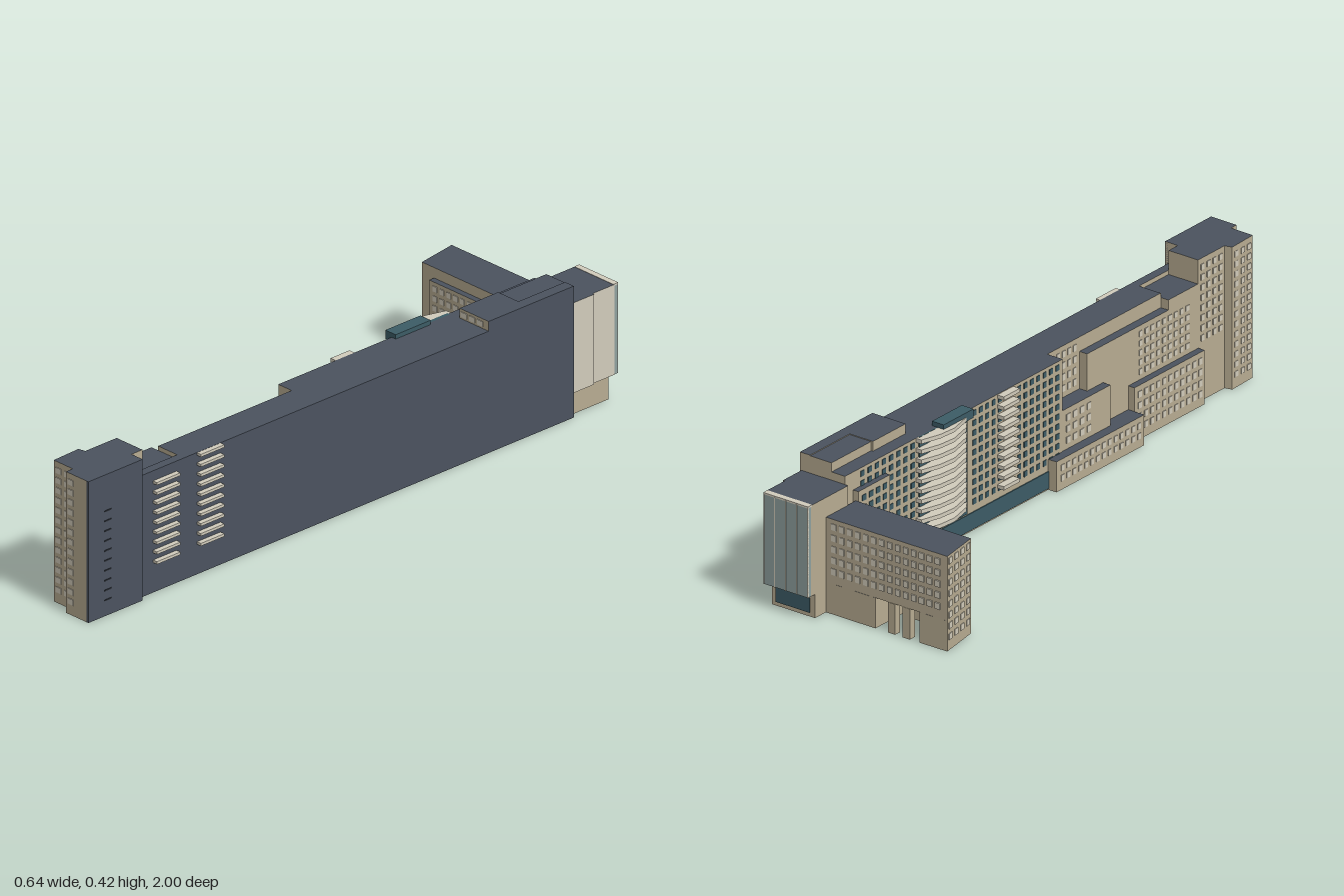
import * as THREE from 'three';
import { mergeGeometries } from 'three/addons/utils/BufferGeometryUtils.js';

const mat = (color) => new THREE.MeshStandardMaterial({ color });
const slate = mat(0x4b535f), beige = mat(0xb8ac92), pale = mat(0xd2ccbc), teal = mat(0x3c5c66),
  glass = mat(0x8fa09e), dark = mat(0x2b2f36);

export function createModel() {
  const model = new THREE.Group();
  model.name = 'apartmentBuilding';
  // the whole building sits 15 degrees off the axes: local z runs along the slab
  const site = new THREE.Group();
  site.name = 'site';
  site.rotation.y = -Math.PI / 12;
  model.add(site);

  const add = (name, geometry, material) => {
    const m = new THREE.Mesh(geometry, material);
    m.name = name;
    site.add(m);
    return m;
  };
  const boxGeo = (x0, x1, y0, y1, z0, z1) =>
    new THREE.BoxGeometry(x1 - x0, y1 - y0, z1 - z0)
      .translate((x0 + x1) / 2, (y0 + y1) / 2, (z0 + z1) / 2);
  // block with slate roof; the east wall may differ from the other walls
  const block = (name, x0, x1, y0, y1, z0, z1, east = beige, wall = beige) =>
    add(name, boxGeo(x0, x1, y0, y1, z0, z1), [east, wall, slate, slate, wall, wall]);
  // plan outline of [x, z] points raised from y0 to y1
  const prism = (pts, y0, y1) => {
    const shape = new THREE.Shape(pts.map(([x, z]) => new THREE.Vector2(x, -z)));
    return new THREE.ExtrudeGeometry(shape, { depth: y1 - y0, bevelEnabled: false })
      .rotateX(-Math.PI / 2).translate(0, y0, 0);
  };
  // grid of window panels on a wall; axis is the wall normal, at its position
  const windows = (name, axis, at, a0, a1, cols, y0, y1, rows, material, fill = 0.55) => {
    const parts = [], da = (a1 - a0) / cols, dy = (y1 - y0) / rows, t = 0.002;
    for (let c = 0; c < cols; c++) for (let r = 0; r < rows; r++) {
      const a = a0 + (c + 0.5) * da, w = da * fill / 2;
      const y = y0 + (r + 0.5) * dy, h = dy * 0.28;
      parts.push(axis === 'x'
        ? boxGeo(at - t, at + t, y - h, y + h, a - w, a + w)
        : boxGeo(a - w, a + w, y - h, y + h, at - t, at + t));
    }
    add(name, mergeGeometries(parts), material);
  };

  // long slab
  block('slabNorthPart', -0.076, 0.077, 0, 0.363, -0.81, 0.14, slate);
  block('slabSouthPart', -0.024, 0.077, 0, 0.363, 0.14, 0.635, slate);
  block('slabTowerLink', 0.05, 0.077, 0, 0.363, 0.635, 0.804, slate);
  block('linkInfill', -0.05, 0.05, 0, 0.35, 0.635, 0.764);

  // stepped volumes on the west side
  block('lowPodium', -0.104, -0.024, 0, 0.09, 0.077, 0.46);
  block('midPodium', -0.071, -0.024, 0, 0.16, 0.46, 0.766);
  block('upperAnnex', -0.05, -0.024, 0, 0.32, 0.28, 0.74);
  block('smallAnnex', -0.075, -0.024, 0, 0.21, 0.14, 0.35);
  windows('lowPodiumWindows', 'x', -0.104, 0.09, 0.45, 14, 0.02, 0.08, 2, pale);
  windows('midPodiumWindows', 'x', -0.071, 0.47, 0.76, 11, 0.02, 0.15, 4, pale);
  windows('upperAnnexWindows', 'x', -0.05, 0.5, 0.73, 9, 0.17, 0.31, 5, pale);
  windows('smallAnnexWindows', 'x', -0.075, 0.15, 0.27, 4, 0.1, 0.2, 3, pale);
  windows('slabUpperWindows', 'x', -0.024, 0.15, 0.27, 5, 0.22, 0.355, 4, pale);

  // slab west facade
  windows('westFacadeWindows', 'x', -0.076, -0.26, 0.13, 14, 0.07, 0.36, 10, teal, 0.5);
  windows('westFacadeNorthWindows', 'x', -0.076, -0.75, -0.5, 8, 0.07, 0.36, 10, teal, 0.5);
  add('groundFloorGlazing', boxGeo(-0.079, -0.07, 0.005, 0.055, -0.5, 0.13), teal);

  // bowed balconies stacked on the west side, with small ones beside them
  const bow = [[-0.07, -0.5], [-0.094, -0.5], [-0.112, -0.44], [-0.117, -0.385],
    [-0.1, -0.31], [-0.07, -0.27]];
  const bowParts = [], smallParts = [], eastParts = [], slots = [];
  for (let i = 0; i < 10; i++) {
    const y = 0.085 + i * 0.0295;
    bowParts.push(prism(bow, y, y + 0.012));
    smallParts.push(boxGeo(-0.098, -0.07, y, y + 0.011, -0.145, -0.075));
    // east balconies, the column beside the tower stops one floor lower
    if (i < 9) eastParts.push(boxGeo(0.07, 0.092, y + 0.004, y + 0.012, 0.663, 0.75));
    eastParts.push(boxGeo(0.07, 0.092, y + 0.004, y + 0.012, 0.5, 0.587));
    // narrow slots in the tower's east wall
    slots.push(boxGeo(0.092, 0.0945, y - 0.04, y - 0.036, 0.92, 0.945));
  }
  add('bowedBalconies', mergeGeometries(bowParts), pale);
  add('smallBalconies', mergeGeometries(smallParts), pale);
  add('eastBalconies', mergeGeometries(eastParts), pale);
  add('bowGlazing', boxGeo(-0.08, -0.07, 0.06, 0.363, -0.49, -0.28), teal);
  add('bowRoofLantern', boxGeo(-0.1, -0.06, 0.35, 0.376, -0.41, -0.28), teal);

  // south tower
  add('southTower', prism([[-0.05, 0.764], [0.05, 0.764], [0.05, 0.804], [0.092, 0.804],
    [0.092, 1.005], [0.006, 1.005], [0.006, 0.98], [-0.068, 0.98], [-0.072, 0.885],
    [-0.05, 0.88]], 0, 0.421), [slate, beige]);
  add('southTowerEastWall', boxGeo(0.085, 0.0932, 0, 0.421, 0.804, 1.0052), slate);
  add('southTowerSlots', mergeGeometries(slots), dark);
  windows('southTowerFrontWindows', 'z', 0.98, -0.066, 0.003, 2, 0.025, 0.41, 13, pale, 0.65);
  windows('southTowerSideColumn', 'z', 1.005, 0.01, 0.04, 1, 0.025, 0.41, 13, pale, 0.7);
  windows('southTowerBayWindows', 'x', -0.07, 0.89, 0.975, 3, 0.025, 0.41, 13, pale);
  windows('southTowerWestWindows', 'x', -0.05, 0.77, 0.875, 4, 0.17, 0.41, 8, pale);

  // raised roof storey at the north end
  block('roofStoreyEast', 0.043, 0.077, 0.36, 0.392, -0.81, -0.494, slate);
  block('roofStorey', -0.036, 0.043, 0.36, 0.392, -0.637, -0.494);
  block('roofStoreyNorth', -0.03, 0.043, 0.36, 0.39, -0.81, -0.637);
  windows('roofStoreyWindows', 'z', -0.494, -0.034, 0.06, 3, 0.363, 0.39, 1, pale, 0.7);
  block('westProjection', -0.094, -0.07, 0, 0.31, -0.775, -0.637);
  windows('westProjectionWindows', 'x', -0.094, -0.765, -0.645, 4, 0.06, 0.3, 8, teal);

  // north tower: overhanging body, glazed end, recessed base
  block('northTowerBody', -0.087, 0.066, 0.07, 0.339, -0.972, -0.81, pale, beige);
  block('northTowerStep', 0, 0.072, 0.07, 0.339, -0.89, -0.81, pale, pale);
  block('northTowerBase', -0.087, 0.06, 0, 0.07, -0.955, -0.81, beige);
  add('northGlazing', boxGeo(-0.086, 0.064, 0.07, 0.337, -0.985, -0.97), glass);
  add('northGlazingCap', boxGeo(-0.087, 0.065, 0.335, 0.34, -0.986, -0.968), pale);
  const mullions = [];
  for (let i = 0; i <= 4; i++) {
    const x = -0.085 + i * 0.037;
    mullions.push(boxGeo(x - 0.001, x + 0.001, 0.07, 0.337, -0.987, -0.98));
  }
  add('northMullions', mergeGeometries(mullions), pale);
  add('northBaseGlazing', boxGeo(-0.07, 0.045, 0.012, 0.055, -0.958, -0.95), teal);

  // west wing with an open passage at ground level
  add('wingUpper', prism([[-0.085, -0.907], [-0.085, -0.775], [-0.477, -0.775],
    [-0.498, -0.905]], 0.09, 0.281), [slate, beige]);
  add('wingWestBase', prism([[-0.405, -0.906], [-0.405, -0.775], [-0.477, -0.775],
    [-0.498, -0.905]], 0, 0.09), [slate, beige]);
  block('wingEastBase', -0.255, -0.085, 0, 0.09, -0.907, -0.775);
  for (const x of [-0.31, -0.36])
    for (const z of [-0.9, -0.79])
      add('passagePillar', boxGeo(x - 0.012, x + 0.012, 0, 0.09, z - 0.007, z + 0.015), beige);
  block('wingSouthBay', -0.43, -0.076, 0.09, 0.25, -0.776, -0.757);
  windows('wingNorthWindows', 'z', -0.907, -0.48, -0.1, 14, 0.11, 0.275, 5, pale, 0.6);
  windows('wingSouthWindows', 'z', -0.757, -0.42, -0.1, 12, 0.1, 0.245, 5, pale, 0.6);
  // wing end wall is slightly skewed, so its windows follow it
  const end = new THREE.Group();
  end.name = 'wingEndWindows';
  for (let c = 0; c < 4; c++) for (let r = 0; r < 8; r++) {
    const k = (c + 0.5) / 4;
    const pane = new THREE.Mesh(new THREE.BoxGeometry(0.004, 0.018, 0.018), pale);
    pane.position.set(-0.477 - 0.021 * k, 0.04 + r * 0.032, -0.775 - 0.13 * k);
    pane.rotation.y = Math.atan2(0.021, 0.13);
    end.add(pane);
  }
  site.add(end);
  return model;
}
